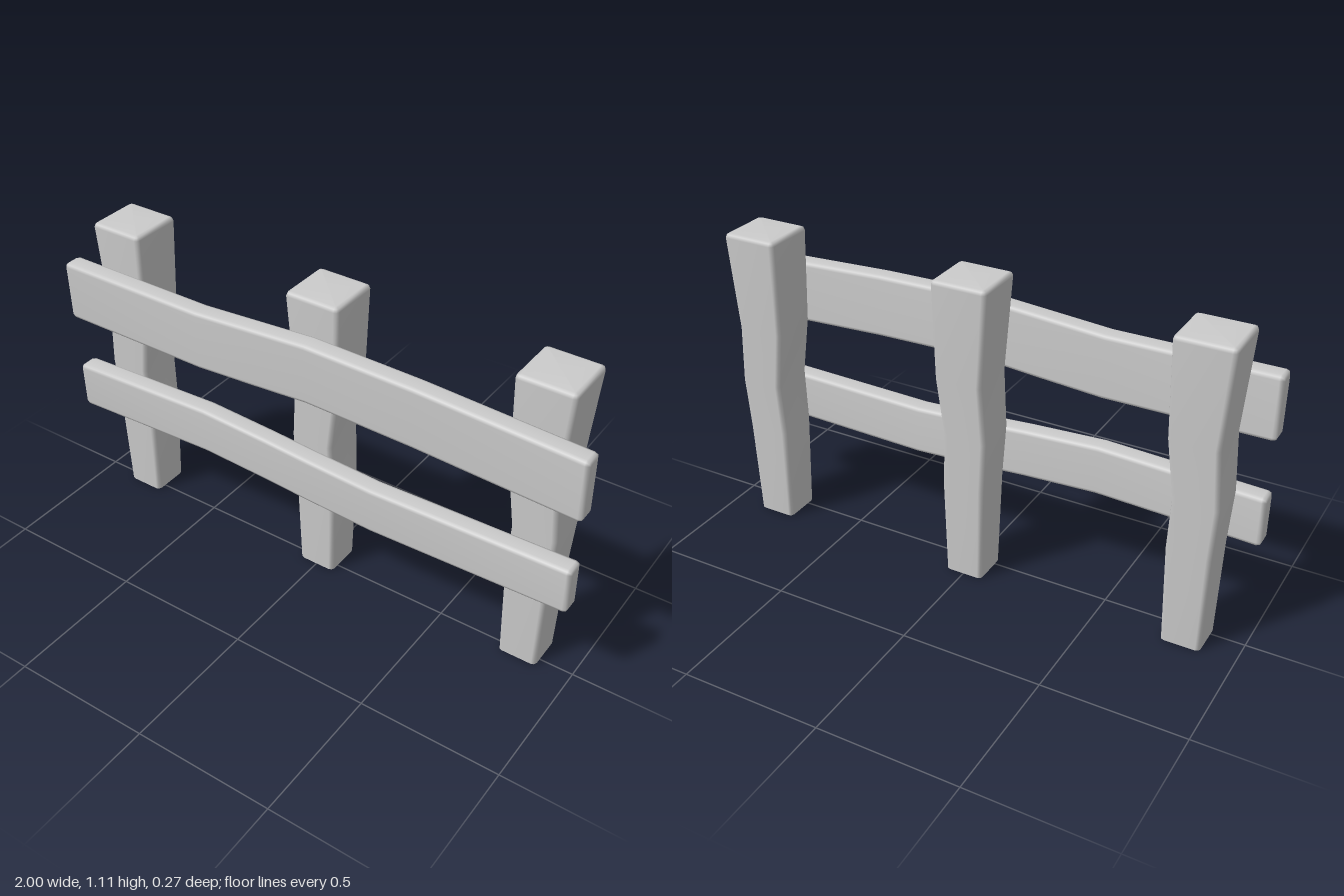
import * as THREE from 'three';

const BEVEL = 0.015;

// Rounded rectangle, counter-clockwise in (u, v)
function ring(s, inset) {
  const r = Math.max(BEVEL - inset, 0.004);
  const u0 = s.u0 + inset + r, u1 = s.u1 - inset - r;
  const v0 = s.v0 + inset + r, v1 = s.v1 - inset - r;
  const corners = [[u1, v1], [u0, v1], [u0, v0], [u1, v0]];
  const points = [];
  corners.forEach(([u, v], q) => {
    for (let k = 0; k <= 2; k++) {
      const a = (q + k / 2) * Math.PI / 2;
      points.push([u + r * Math.cos(a), v + r * Math.sin(a)]);
    }
  });
  return points;
}

// Lofts sections along t; each end is either left open or bevelled and capped
function loft(sections, place, openStart) {
  const rings = [];
  const add = (s, t, inset) => rings.push({ t, points: ring(s, inset) });
  const steps = [[0, 1], [0.29, 0.29], [1, 0]];
  const last = sections.length - 1;
  sections.forEach((s, i) => {
    if (i === 0 && !openStart) steps.forEach(([dt, d]) => add(s, s.t + dt * BEVEL, d * BEVEL));
    else if (i === last) [...steps].reverse().forEach(([dt, d]) => add(s, s.t - dt * BEVEL, d * BEVEL));
    else add(s, s.t, 0);
  });

  const n = rings[0].points.length;
  const positions = [], index = [];
  rings.forEach(({ t, points }) => points.forEach(([u, v]) => positions.push(...place(t, u, v))));
  for (let i = 0; i < rings.length - 1; i++) {
    for (let j = 0; j < n; j++) {
      const a = i * n + j, b = i * n + (j + 1) % n;
      index.push(a, b, b + n, a, b + n, a + n);
    }
  }
  const cap = (i, s, flip) => {
    const centre = positions.length / 3;
    positions.push(...place(rings[i].t, (s.u0 + s.u1) / 2, (s.v0 + s.v1) / 2));
    for (let j = 0; j < n; j++) {
      const a = i * n + j, b = i * n + (j + 1) % n;
      index.push(centre, flip ? b : a, flip ? a : b);
    }
  };
  if (!openStart) cap(0, sections[0], true);
  cap(rings.length - 1, sections[last], false);

  const geometry = new THREE.BufferGeometry();
  geometry.setAttribute('position', new THREE.Float32BufferAttribute(positions, 3));
  geometry.setIndex(index);
  geometry.computeVertexNormals();
  return geometry;
}

// Post outline: height, left edge, right edge
const POST = [
  [0, -0.07, 0.068], [0.36, -0.079, 0.075], [0.55, -0.09, 0.066],
  [0.76, -0.077, 0.093], [1.11, -0.1, 0.1],
];

// Hollow-bottomed post, widening upwards; side = -1 mirrors the bend
function postGeometry(side) {
  const sections = POST.map(([y, l, r]) => ({
    t: y,
    u0: -0.105 - 0.026 * y, u1: 0.036 + 0.026 * y,
    v0: side > 0 ? l : -r, v1: side > 0 ? r : -l,
  }));
  return loft(sections, (t, u, v) => [v, t, u], true);
}

// Wavy rail leaning with the front of the posts: x, bottom, top
function railGeometry(outline) {
  const sections = outline.map(([x, bottom, top]) => ({ t: x, u0: bottom, u1: top, v0: 0.036, v1: 0.109 }));
  return loft(sections, (t, u, v) => [t, u, v + 0.027 * u], false);
}

export function createModel() {
  const model = new THREE.Group();
  model.name = 'fence';
  const solid = new THREE.MeshStandardMaterial({ color: 0xcccccc });
  const open = new THREE.MeshStandardMaterial({ color: 0xcccccc, side: THREE.DoubleSide });
  const add = (name, geometry, material, x = 0) => {
    const mesh = new THREE.Mesh(geometry, material);
    mesh.name = name;
    mesh.position.x = x;
    model.add(mesh);
  };

  // Posts
  add('rightPost', postGeometry(1), open, -0.81);
  add('middlePost', postGeometry(1), open, 0);
  add('leftPost', postGeometry(-1), open, 0.81);

  // Rails
  add('upperRail', railGeometry([
    [-1, 0.735, 0.957], [-0.42, 0.733, 0.956], [-0.2, 0.748, 0.972],
    [0.02, 0.765, 0.988], [0.42, 0.757, 0.982], [1, 0.732, 0.957],
  ]), solid);
  add('lowerRail', railGeometry([
    [-0.995, 0.355, 0.532], [-0.42, 0.377, 0.555], [-0.15, 0.364, 0.541],
    [0.02, 0.352, 0.529], [0.27, 0.34, 0.516], [0.99, 0.358, 0.532],
  ]), solid);
  return model;
}
